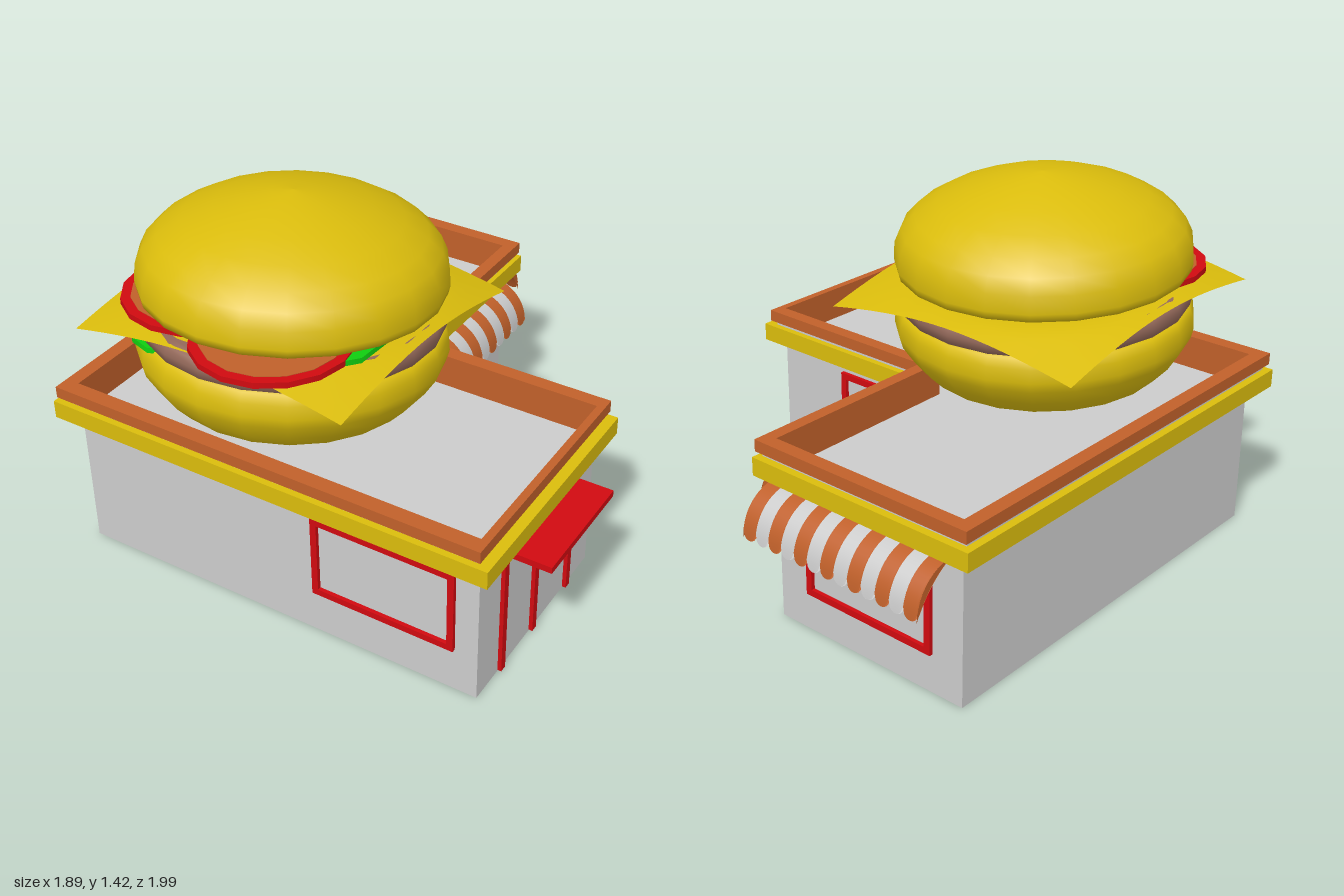
import * as THREE from 'three';

const mat = (color) => new THREE.MeshStandardMaterial({ color, side: THREE.DoubleSide });
const grey = mat(0xcccccc), yellow = mat(0xdabc0c), brown = mat(0xc0602a), red = mat(0xd00a10);
const green = mat(0x10d010), meat = mat(0x94695a);

function add(parent, name, geo, material, x = 0, y = 0, z = 0) {
  const m = new THREE.Mesh(geo, material);
  m.name = name;
  m.position.set(x, y, z);
  parent.add(m);
  return m;
}

// Box given by its limits
function box(parent, name, material, x0, x1, y0, y1, z0, z1) {
  return add(parent, name, new THREE.BoxGeometry(x1 - x0, y1 - y0, z1 - z0), material,
    (x0 + x1) / 2, (y0 + y1) / 2, (z0 + z1) / 2);
}

// L-shaped plan: back wing ends at xn, front wing starts at zn
const plan = ({ x0, x1, xn, z0, z1, zn }) =>
  [[x0, z1], [x1, z1], [x1, zn], [xn, zn], [xn, z0], [x0, z0]].map(([x, z]) => new THREE.Vector2(x, -z));

function slab(outer, inner, y0, y1) {
  const shape = new THREE.Shape(plan(outer));
  if (inner) shape.holes.push(new THREE.Path(plan(inner)));
  const g = new THREE.ExtrudeGeometry(shape, { depth: y1 - y0, bevelEnabled: false });
  return g.rotateX(-Math.PI / 2).translate(0, y0, 0);
}

// Rectangular frame facing +z, standing on the plane z = 0
function frame(parent, name, w, y0, y1) {
  const g = new THREE.Group(), t = 0.025, d = 0.015;
  g.name = name;
  box(g, 'frameTop', red, -w / 2, w / 2, y1 - t, y1, 0, d);
  box(g, 'frameBottom', red, -w / 2, w / 2, y0, y0 + t, 0, d);
  for (const s of [-1, 1]) {
    const x = s * (w - t) / 2;
    box(g, 'frameSide', red, x - t / 2, x + t / 2, y0 + t, y1 - t, 0, d);
  }
  parent.add(g);
  return g;
}

// Striped awning with a crescent section and scalloped hem, projecting to +z
function awning(parent, name, width) {
  const g = new THREE.Group(), n = 13, w = width / n;
  g.name = name;
  const outer = new THREE.CubicBezierCurve(new THREE.Vector2(0, 0.56), new THREE.Vector2(0.07, 0.55),
    new THREE.Vector2(0.135, 0.5), new THREE.Vector2(0.14, 0.395));
  const inner = new THREE.QuadraticBezierCurve(new THREE.Vector2(0, 0.55),
    new THREE.Vector2(0.09, 0.5), new THREE.Vector2(0.14, 0.395));
  for (let i = 0; i < n; i++) {
    for (const curve of [outer, inner]) {
      const geo = new THREE.PlaneGeometry(w, 1, 8, 10), p = geo.attributes.position;
      for (let k = 0; k < p.count; k++) {
        const u = p.getX(k) / w * 2;
        const end = 0.88 + 0.12 * Math.sqrt(Math.max(0, 1 - u * u));
        const c = curve.getPoint((0.5 - p.getY(k)) * end);
        p.setXYZ(k, p.getX(k), c.y, c.x);
      }
      geo.computeVertexNormals();
      add(g, 'awningStripe', geo, i % 2 ? grey : brown, (i + 0.5) * w - width / 2);
    }
  }
  const side = new THREE.Shape([...outer.getPoints(10), ...inner.getPoints(10).reverse()]);
  for (const s of [-1, 1]) {
    add(g, 'awningEnd', new THREE.ShapeGeometry(side).rotateY(-Math.PI / 2), brown, s * (width / 2 - 0.001));
  }
  parent.add(g);
  return g;
}

function lathe(points, sides = 22) {
  return new THREE.LatheGeometry(points.map(([r, y]) => new THREE.Vector2(r, y)), sides);
}

function makeBuilding() {
  const b = new THREE.Group();
  b.name = 'building';
  const wall = { x0: -0.88, x1: 0.78, xn: -0.05, z0: -0.82, z1: 0.86, zn: 0.02 };
  const band = { x0: -0.95, x1: 0.84, xn: 0.005, z0: -0.885, z1: 0.925, zn: -0.04 };
  const ledge = { x0: -0.92, x1: 0.795, xn: -0.015, z0: -0.855, z1: 0.9, zn: -0.015 };
  const trim = { x0: -0.935, x1: 0.81, xn: 0, z0: -0.875, z1: 0.92, zn: -0.035 };
  const lining = { x0: -0.89, x1: 0.79, xn: -0.04, z0: -0.83, z1: 0.87, zn: 0.01 };
  add(b, 'walls', slab(wall, null, 0, 0.57), grey);
  add(b, 'roofBand', slab(band, lining, 0.565, 0.635), yellow);
  add(b, 'roofLedge', slab(ledge, lining, 0.635, 0.655), grey);
  add(b, 'parapetLining', slab(lining, wall, 0.57, 0.655), brown);
  add(b, 'parapetTrim', slab(trim, wall, 0.655, 0.7), brown);

  // Windows
  frame(b, 'frontWindow', 0.565, 0.18, 0.515).position.set(0.41, 0, 0.86);
  const back = frame(b, 'backWindow', 0.565, 0.15, 0.515);
  back.position.set(-0.47, 0, -0.82);
  back.rotation.y = Math.PI;
  const side = frame(b, 'sideWindow', 0.475, 0.15, 0.515);
  side.position.set(-0.05, 0, -0.39);
  side.rotation.y = Math.PI / 2;
  const hatch = frame(b, 'servingWindow', 0.35, 0.165, 0.515);
  hatch.position.set(0.28, 0, 0.02);
  hatch.rotation.y = Math.PI;
  box(hatch, 'servingSill', red, -0.175, 0.175, 0.16, 0.185, 0, 0.05);

  // Door with canopy
  for (const z of [0.697, 0.465, 0.2]) box(b, 'doorPost', red, 0.775, 0.795, 0.004, 0.515, z - 0.014, z + 0.014);
  box(b, 'doorLintel', red, 0.775, 0.795, 0.49, 0.515, 0.186, 0.711);
  box(b, 'doorCanopy', red, 0.78, 0.945, 0.49, 0.515, 0.205, 0.675);

  // Awnings
  const a1 = awning(b, 'backAwning', 0.785);
  a1.position.set(-0.4525, 0, -0.86);
  a1.rotation.y = Math.PI;
  const a2 = awning(b, 'sideAwning', 0.79);
  a2.position.set(-0.05, 0, -0.385);
  a2.rotation.y = Math.PI / 2;
  return b;
}

function makeBurger() {
  const b = new THREE.Group();
  b.name = 'burger';
  b.position.set(-0.265, 1, 0.365);
  b.rotation.x = -0.065;

  add(b, 'bottomBun', lathe([[0, -0.36], [0.38, -0.36], [0.46, -0.325], [0.515, -0.265], [0.555, -0.2],
    [0.565, -0.16], [0.56, -0.11], [0.545, -0.075], [0.5, -0.065], [0, -0.065]]), yellow);
  add(b, 'patty', lathe([[0, -0.08], [0.52, -0.08], [0.548, -0.065], [0.556, -0.03], [0.548, 0.0],
    [0.52, 0.015], [0, 0.015]]), meat);
  add(b, 'topBun', lathe([[0, 0.075], [0.5, 0.075], [0.55, 0.07], [0.556, 0.1], [0.55, 0.165], [0.525, 0.22],
    [0.475, 0.27], [0.39, 0.32], [0.28, 0.362], [0.18, 0.39], [0.08, 0.412], [0, 0.42]]), yellow);

  // Cheese sheet with drooping corners
  const cheese = new THREE.PlaneGeometry(1.1, 1.1, 16, 16).rotateX(-Math.PI / 2);
  const p = cheese.attributes.position;
  for (let i = 0; i < p.count; i++) {
    const r = Math.hypot(p.getX(i), p.getZ(i));
    p.setY(i, 0.022 - 0.08 * Math.max(0, r - 0.5) / 0.278);
  }
  cheese.computeVertexNormals();
  add(b, 'cheese', cheese, yellow, 0, 0, -0.02);

  // Lettuce leaves: x, y, z, radius
  for (const [x, y, z, r] of [[0, 0.034, 0, 0.44], [0.2, 0.036, 0.2, 0.285], [-0.22, 0.035, 0.2, 0.26], [-0.27, -0.072, 0.34, 0.15]]) {
    add(b, 'lettuce', new THREE.CylinderGeometry(r, r, 0.02, 10), green, x, y, z);
  }

  // Tomato slices: x, y, z, radius
  for (const [x, y, z, r] of [[0.155, 0.04, 0.345, 0.285], [-0.235, 0.045, 0.22, 0.285], [0, 0.055, -0.11, 0.285]]) {
    const slice = new THREE.Group();
    slice.name = 'tomato';
    add(slice, 'tomatoSkin', new THREE.CylinderGeometry(r, r, 0.022, 16), red);
    add(slice, 'tomatoFlesh', new THREE.CylinderGeometry(r - 0.035, r - 0.035, 0.026, 16), brown);
    slice.position.set(x, y, z);
    slice.rotation.x = 0.04;
    b.add(slice);
  }
  return b;
}

export function createModel() {
  const model = new THREE.Group();
  model.name = 'burgerRestaurant';
  model.add(makeBuilding(), makeBurger());
  return model;
}
